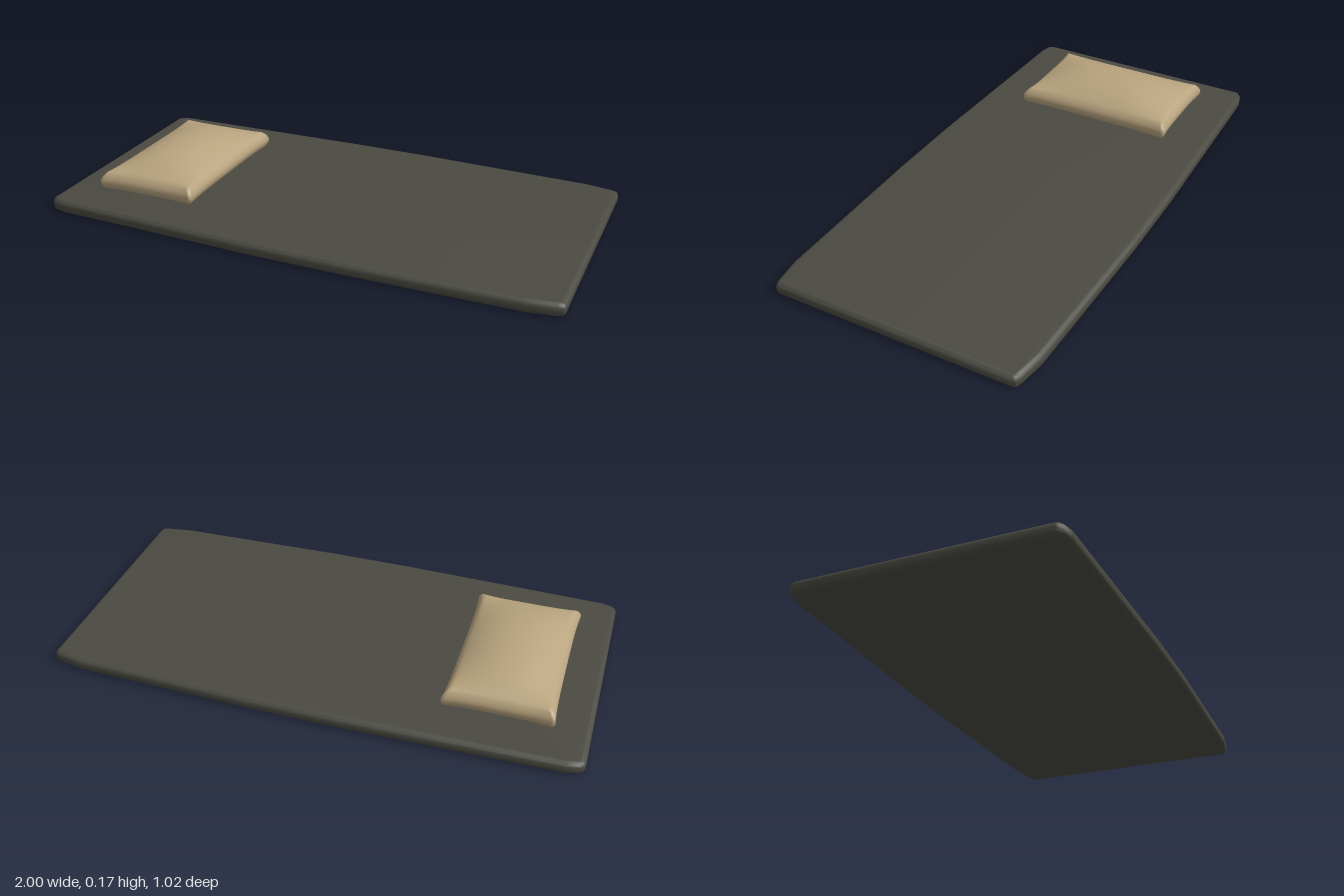
import * as THREE from 'three';
import { mergeVertices, toCreasedNormals } from 'three/addons/utils/BufferGeometryUtils.js';

// Thin mat with gently bowed long sides and a rounded rim
function createMat() {
  const edge = [
    [1, 0.455], [0.995, 0.468], [0.975, 0.477], [0.87, 0.494], [0.2, 0.51],
    [-0.13, 0.51], [-0.94, 0.49], [-0.98, 0.48], [-0.995, 0.468], [-1, 0.455],
  ];
  const outline = [...edge, ...edge.map(([x, z]) => [x, -z]).reverse()];
  const shape = new THREE.Shape(outline.map(([x, z]) => new THREE.Vector2(x, z)));
  const bevel = 0.02;
  const geometry = new THREE.ExtrudeGeometry(shape, {
    depth: 0.01, bevelThickness: bevel, bevelSize: bevel, bevelOffset: -bevel, bevelSegments: 5,
  });
  geometry.rotateX(-Math.PI / 2).translate(0, bevel, 0);
  const mat = new THREE.Mesh(
    toCreasedNormals(geometry, 0.7),
    new THREE.MeshStandardMaterial({ color: 0x4a4a42 }),
  );
  mat.name = 'mat';
  return mat;
}

// Soft pillow: a box with bulging walls, a domed top and pinched corners
function createPillow() {
  let geometry = new THREE.BoxGeometry(2, 1, 2, 28, 8, 40);
  geometry.deleteAttribute('uv');
  geometry.deleteAttribute('normal');
  geometry = mergeVertices(geometry);
  const pos = geometry.attributes.position;
  for (let i = 0; i < pos.count; i++) {
    const u = pos.getX(i), v = pos.getZ(i), t = pos.getY(i) + 0.5;
    const dome = (1 - Math.abs(u) ** 2.2) * (1 - Math.abs(v) ** 2.6);
    const top = 0.115 + 0.05 * dome;
    const wall = 0.018 * (2 * t - 0.9) ** 2; // walls lean in at top and bottom
    const pinch = 0.008;                     // sides draw in between the corners
    const x = u * (0.203 - wall - pinch * (1 - v ** 4));
    const z = v * (0.328 - wall - pinch * (1 - u ** 4));
    pos.setXYZ(i, x, THREE.MathUtils.lerp(0.045, top, t), z);
  }
  geometry.computeVertexNormals();
  const pillow = new THREE.Mesh(geometry, new THREE.MeshStandardMaterial({ color: 0xb8a37e }));
  pillow.name = 'pillow';
  pillow.position.set(-0.67, 0, -0.004);
  return pillow;
}

export function createModel() {
  const model = new THREE.Group();
  model.name = 'sleepingMat';
  model.add(createMat(), createPillow());
  return model;
}
